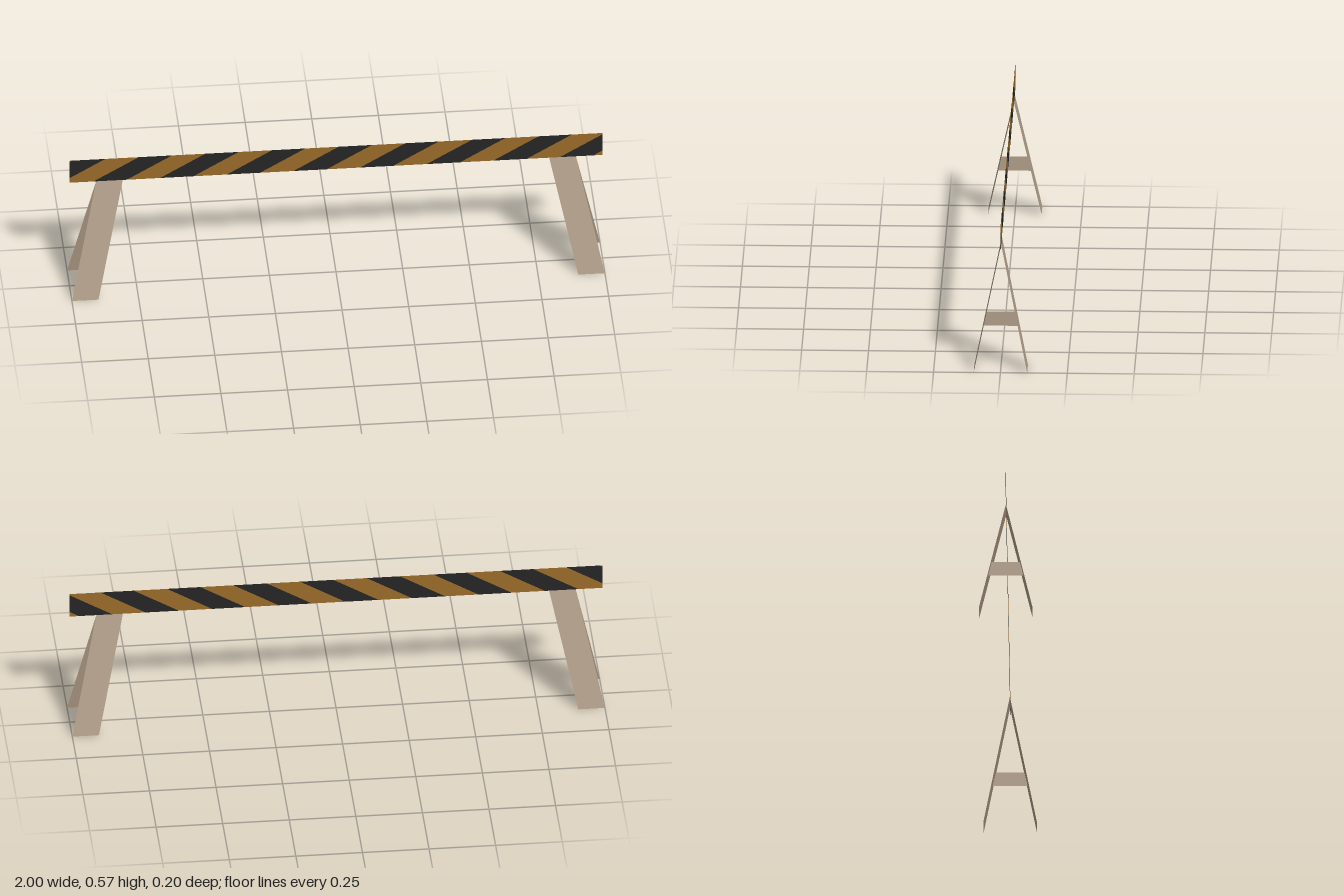
import * as THREE from 'three';

const flat = (name, color) => {
  const m = new THREE.MeshStandardMaterial({ color, side: THREE.DoubleSide, flatShading: true });
  m.name = name;
  return m;
};

// Flat convex panel from corners listed counter-clockwise
function panel(name, corners, material) {
  const g = new THREE.BufferGeometry();
  g.setAttribute('position', new THREE.Float32BufferAttribute(corners.flat(), 3));
  const index = [];
  for (let i = 1; i < corners.length - 1; i++) index.push(0, i, i + 1);
  g.setIndex(index);
  g.computeVertexNormals();
  const mesh = new THREE.Mesh(g, material);
  mesh.name = name;
  return mesh;
}

// Cut a polygon at x = limit, keeping the side where sign * (x - limit) >= 0
function cut(points, limit, sign) {
  const out = [];
  points.forEach((p, i) => {
    const q = points[(i + 1) % points.length];
    const a = sign * (p[0] - limit), b = sign * (q[0] - limit);
    if (a >= 0) out.push(p);
    if (a * b < 0) {
      const t = a / (a - b);
      out.push(p.map((v, k) => v + (q[k] - v) * t));
    }
  });
  return out;
}

export function createModel() {
  const model = new THREE.Group();
  model.name = 'barrier';
  const wood = flat('pale wood', 0xb5a18c);
  const ochre = flat('ochre stripe', 0x9c6d2a);
  const black = flat('black stripe', 0x262626);

  const bottom = 0.47, top = 0.57;

  // Striped board: slanted bands side by side, trimmed at both ends
  const board = new THREE.Group();
  board.name = 'board';
  const band = 0.125, slant = 0.17, first = -1.285;
  for (let i = 0; i < 19; i++) {
    const x = first + i * band;
    let pts = [[x, bottom, 0], [x + band, bottom, 0], [x + band + slant, top, 0], [x + slant, top, 0]];
    pts = cut(cut(pts, -1, 1), 1, -1);
    if (pts.length < 3) continue;
    const dark = i % 2 === 1;
    board.add(panel(dark ? 'blackStripe' : 'ochreStripe', pts, dark ? black : ochre));
  }
  model.add(board);

  // Trestles: two splayed flat legs and a cross brace at each end
  for (const s of [-1, 1]) {
    const trestle = new THREE.Group();
    trestle.name = s > 0 ? 'leftTrestle' : 'rightTrestle';
    for (const f of [-1, 1]) {
      const pts = [[0.9 * s, 0, 0.1 * f], [s, 0, 0.1 * f], [0.9 * s, bottom, 0], [0.8 * s, bottom, 0]];
      if (s * f < 0) pts.reverse();
      trestle.add(panel(f > 0 ? 'frontLeg' : 'backLeg', pts, wood));
    }
    const brace = [[0.93 * s, 0.162, 0.066], [0.93 * s, 0.162, -0.066],
      [0.93 * s, 0.218, -0.053], [0.93 * s, 0.218, 0.053]];
    if (s < 0) brace.reverse();
    trestle.add(panel('crossBrace', brace, wood));
    model.add(trestle);
  }
  return model;
}
